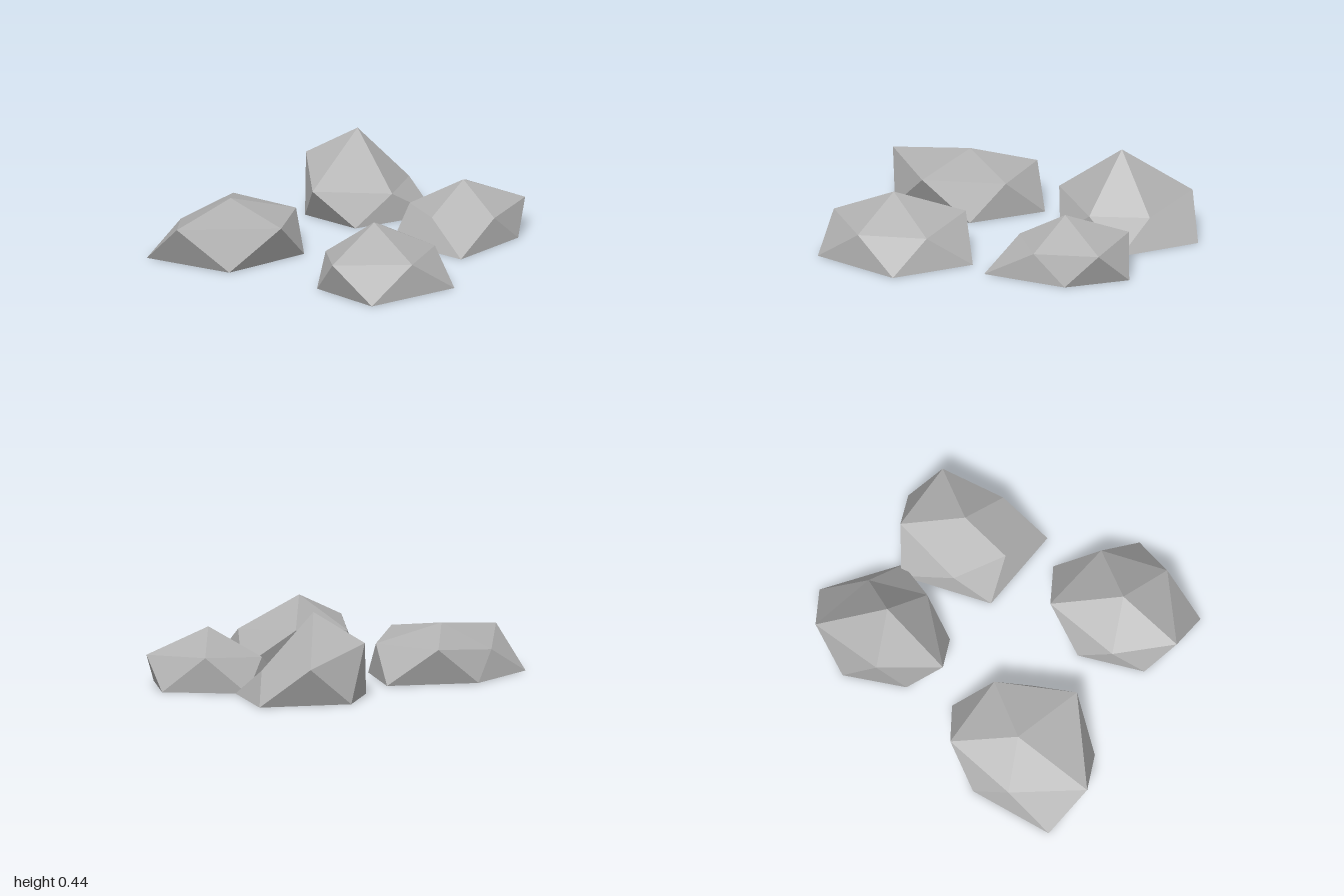
import * as THREE from 'three';

const stone = new THREE.MeshStandardMaterial({ color: 0xb2b2b2, flatShading: true });
stone.name = 'stoneGrey';

// Each rock: a peak, a ring of five shoulder corners and five ground corners between them
const rocks = {
  frontRock: {
    peak: [-0.03, 0.325, 0.57],
    shoulder: [[0.3, 0.165, 0.57], [0.08, 0.17, 0.85], [-0.32, 0.18, 0.755], [-0.245, 0.15, 0.43], [0.105, 0.2, 0.22]],
    ground: [[0.33, 0.79], [-0.17, 0.94], [-0.34, 0.57], [-0.14, 0.28], [0.36, 0.33]],
  },
  wideRock: {
    peak: [-0.545, 0.275, -0.195],
    shoulder: [[-0.19, 0.185, -0.195], [-0.4, 0.21, 0.18], [-0.92, 0.215, 0.045], [-0.77, 0.145, -0.33], [-0.42, 0.19, -0.52]],
    ground: [[-0.215, 0.005], [-0.68, 0.175], [-1, -0.195], [-0.65, -0.48], [-0.175, -0.42]],
  },
  sideRock: {
    peak: [0.665, 0.295, -0.04],
    shoulder: [[1, 0.165, -0.04], [0.75, 0.15, 0.2], [0.445, 0.155, 0.1], [0.425, 0.147, -0.19], [0.785, 0.185, -0.35]],
    ground: [[0.91, 0.11], [0.515, 0.355], [0.28, -0.04], [0.58, -0.42], [0.98, -0.235]],
  },
  tallRock: {
    peak: [0.285, 0.44, -0.605],
    shoulder: [[0.565, 0.15, -0.605], [0.385, 0.15, -0.35], [-0.025, 0.185, -0.415], [0.055, 0.29, -0.75], [0.415, 0.2, -0.95]],
    ground: [[0.635, -0.39], [0.17, -0.305], [0, -0.605], [0.175, -0.89], [0.655, -0.84]],
  },
};

function rockGeometry({ peak, shoulder, ground }) {
  const base = ground.map(([x, z]) => [x, 0, z]);
  const n = base.length;
  const corners = [];
  for (let i = 0; i < n; i++) {
    const j = (i + 1) % n;
    corners.push(peak, shoulder[j], shoulder[i]);      // top facet
    corners.push(shoulder[i], shoulder[j], base[i]);   // side facet pointing down
    corners.push(base[i], shoulder[j], base[j]);       // side facet pointing up
    if (i > 0 && j > 0) corners.push(base[0], base[i], base[j]); // flat underside
  }
  const geometry = new THREE.BufferGeometry();
  geometry.setAttribute('position', new THREE.Float32BufferAttribute(corners.flat(), 3));
  geometry.computeVertexNormals();
  return geometry;
}

export function createModel() {
  const group = new THREE.Group();
  group.name = 'rocks';
  for (const [name, shape] of Object.entries(rocks)) {
    const rock = new THREE.Mesh(rockGeometry(shape), stone);
    rock.name = name;
    group.add(rock);
  }
  return group;
}
